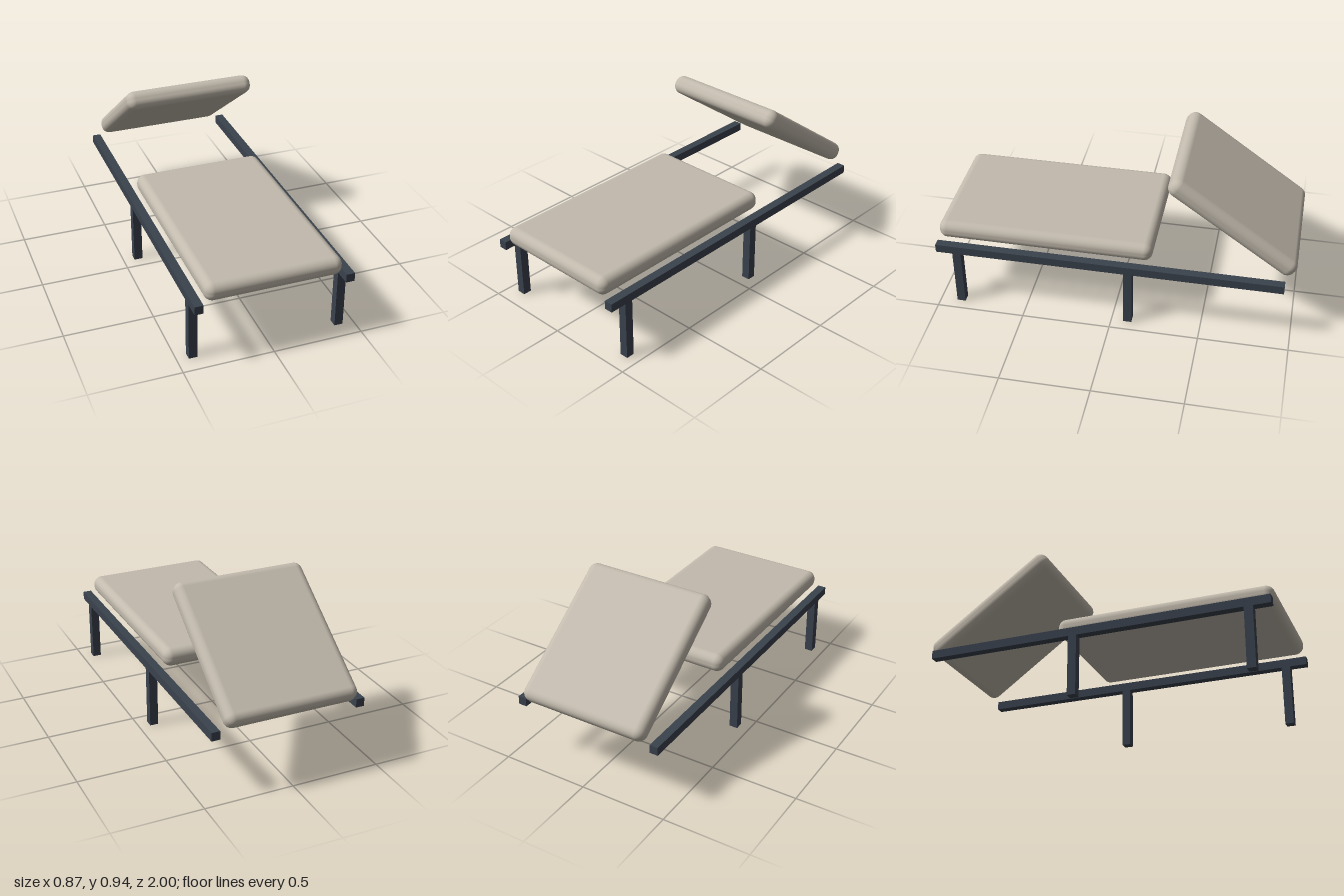
import * as THREE from 'three';
import { RoundedBoxGeometry } from 'three/addons/geometries/RoundedBoxGeometry.js';

export function createModel() {
  const model = new THREE.Group();
  model.name = 'lounger';

  const fabric = new THREE.MeshStandardMaterial({ color: 0xc2baad });
  fabric.name = 'beige fabric';
  const metal = new THREE.MeshStandardMaterial({ color: 0x3a424d });
  metal.name = 'dark slate metal';

  const add = (name, geometry, material, x, y, z) => {
    const mesh = new THREE.Mesh(geometry, material);
    mesh.name = name;
    mesh.position.set(x, y, z);
    model.add(mesh);
    return mesh;
  };

  const width = 0.75, thickness = 0.106, radius = 0.047;
  const cushion = (length) => new RoundedBoxGeometry(width, thickness, length, 6, radius);

  // Flat seat cushion
  add('seatCushion', cushion(1.213), fabric, 0, 0.439, 0.3935);

  // Inclined cushion, raised towards the seat
  const back = add('backCushion', cushion(0.845), fabric, 0, 0.67, -0.6435);
  back.rotation.x = -THREE.MathUtils.degToRad(35.6);

  // Side rails with two square legs each
  const bar = 0.048, railBottom = 0.342;
  for (const [side, s] of [['left', 1], ['right', -1]]) {
    const x = s * 0.413;
    add(side + 'Rail', new THREE.BoxGeometry(bar, bar, 1.945), metal, x, railBottom + bar / 2, 0.0275);
    for (const [end, z] of [['Front', 0.881], ['Rear', -0.091]]) {
      add(side + end + 'Leg', new THREE.BoxGeometry(bar, railBottom, bar), metal, x, railBottom / 2, z);
    }
  }
  return model;
}
